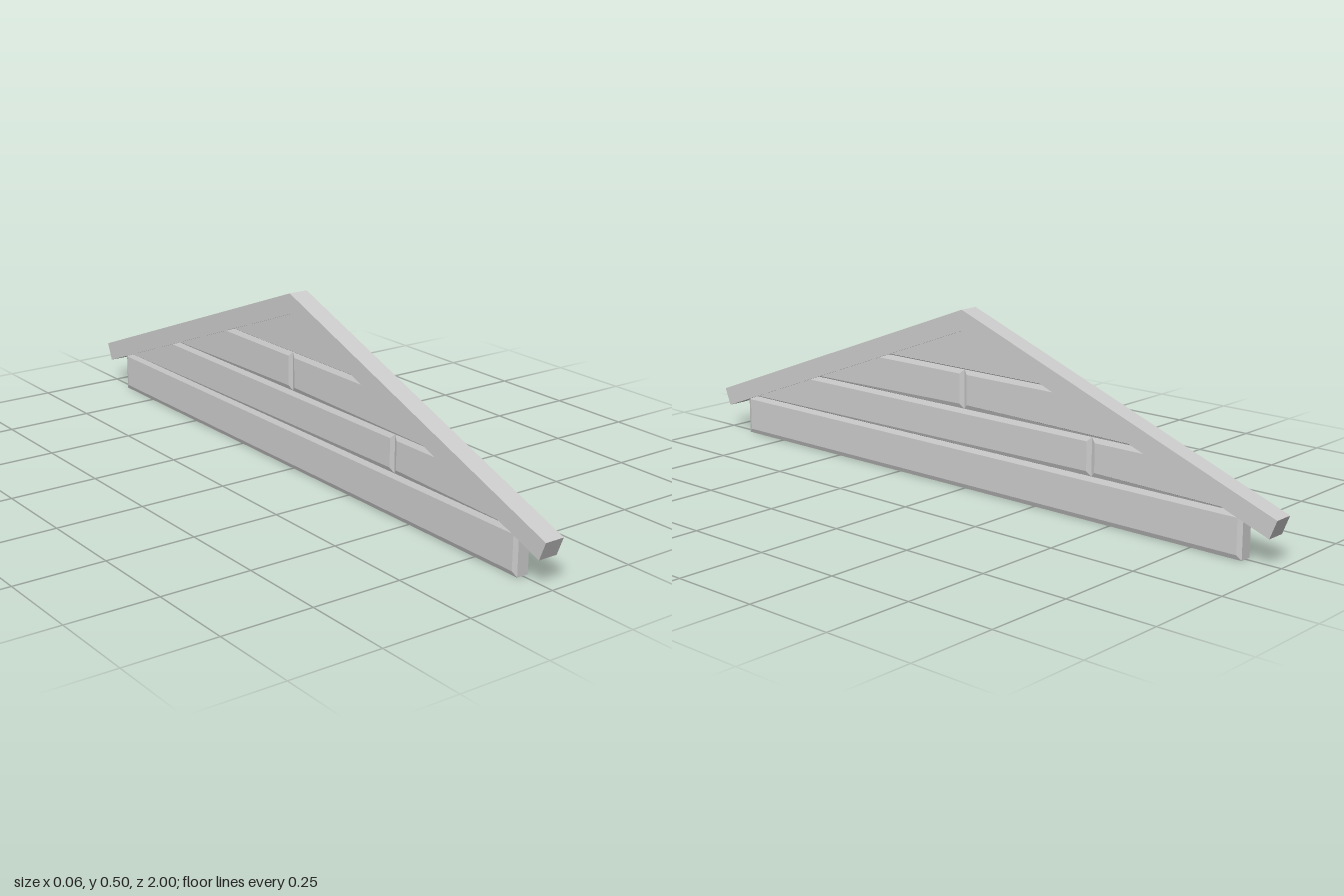
import * as THREE from 'three';

const material = new THREE.MeshStandardMaterial({ color: 0xcccccc, flatShading: true });

// Extrude a (u, y) outline along x; u runs towards -z.
function slab(name, points, x0, depth, bevel) {
  const shape = new THREE.Shape(points.map(([u, y]) => new THREE.Vector2(u, y)));
  const geometry = new THREE.ExtrudeGeometry(shape, { depth, ...bevel });
  geometry.translate(0, 0, x0);
  geometry.rotateY(Math.PI / 2);
  const mesh = new THREE.Mesh(geometry, material);
  mesh.name = name;
  return mesh;
}

// Half width of the gable along the middle of the roof trim
const halfWidth = (y) => (0.47 - y) / 0.375;

// One planked face, chamfered along every board edge
function plankFace(name) {
  const face = new THREE.Group();
  face.name = name;
  const bevel = {
    bevelEnabled: true, bevelThickness: 0.0055, bevelSize: 0.013,
    bevelOffset: -0.013, bevelSegments: 1,
  };
  const add = (label, pts) => face.add(slab(label, pts, 0, 0.017, bevel));

  // Bottom beam with square ends
  add('bottomBeam', [[-0.9, 0], [0.9, 0], [0.9, 0.12], [-0.9, 0.12]]);

  // Upper courses, each split by one vertical joint
  for (const [y0, y1, joint] of [[0.12, 0.225, 0.44], [0.225, 0.335, 0]]) {
    const a = halfWidth(y0), b = halfWidth(y1);
    add('board', [[-a, y0], [joint, y0], [joint, y1], [-b, y1]]);
    add('board', [[joint, y0], [a, y0], [b, y1], [joint, y1]]);
  }

  // Triangular peak board
  const w = halfWidth(0.335);
  add('peakBoard', [[-w, 0.335], [w, 0.335], [0, 0.47]]);
  return face;
}

export function createModel() {
  const model = new THREE.Group();
  model.name = 'gable';

  // Two opposite faces, one turned half way round
  const left = plankFace('leftFace');
  const right = plankFace('rightFace');
  right.rotation.y = Math.PI;
  model.add(left, right);

  // Chevron roof trim with ends cut square to the slope
  model.add(slab('roofTrim', [
    [0, 0.5], [-1, 0.125], [-0.98, 0.075], [0, 0.4425], [0.98, 0.075], [1, 0.125],
  ], -0.028, 0.056, { bevelEnabled: false }));

  return model;
}
